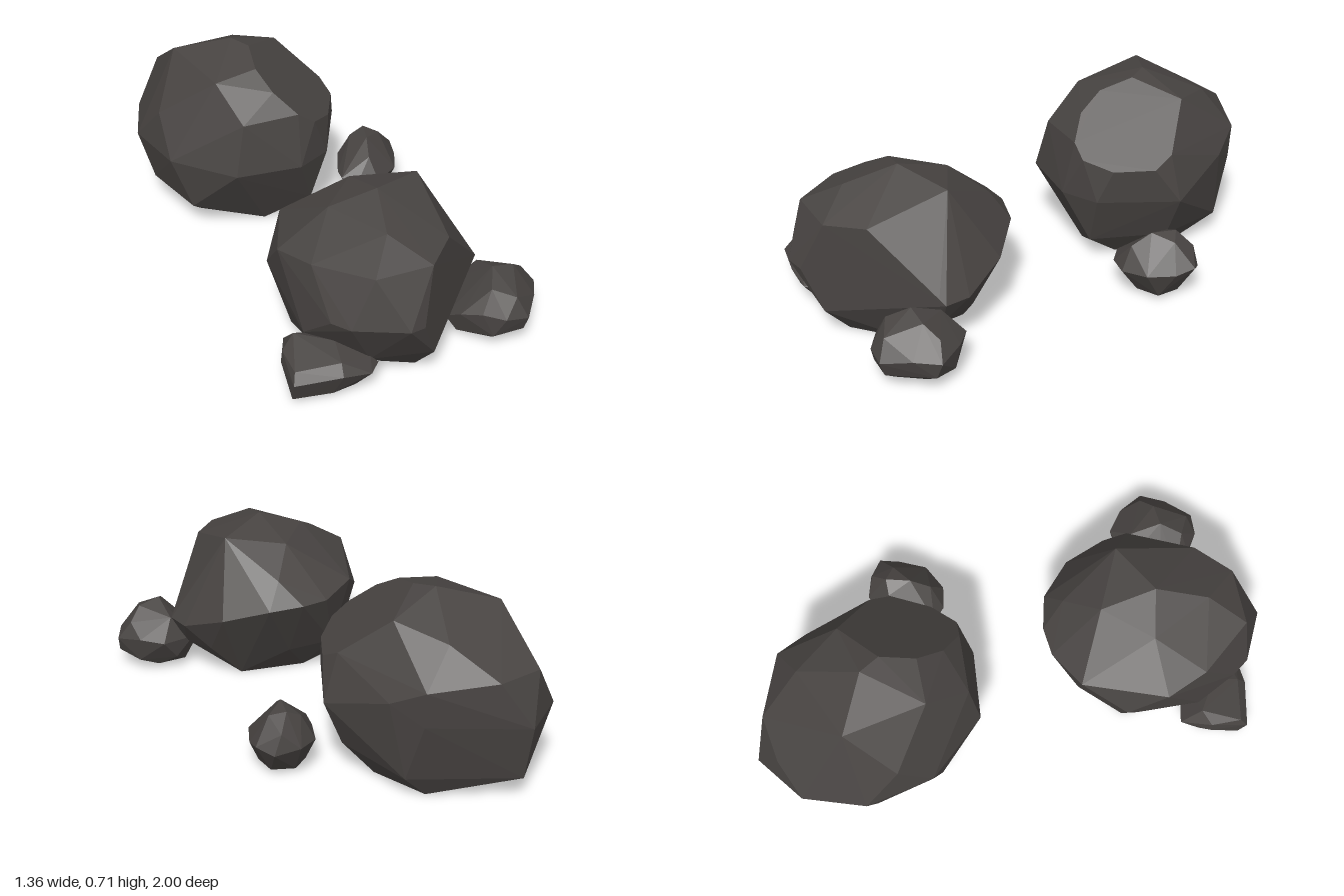
import * as THREE from 'three';
import { ConvexGeometry } from 'three/addons/geometries/ConvexGeometry.js';

// Faceted boulder: the hull around a few corner points (x, y, z triples)
function boulder(name, corners, material) {
  const points = [];
  for (let i = 0; i < corners.length; i += 3) {
    points.push(new THREE.Vector3(corners[i], corners[i + 1], corners[i + 2]));
  }
  const mesh = new THREE.Mesh(new ConvexGeometry(points), material);
  mesh.name = name;
  return mesh;
}

// Large boulder at the back; its sloping cut lies on one plane
const cutHeight = (x, z) => 0.425 - 0.72 * x - 0.26 * z;
const backCut = [[-0.07, -0.66], [-0.21, -0.5], [-0.21, -0.36], [-0.16, -0.26], [-0.07, -0.2],
  [0, -0.21], [0.08, -0.31], [0.13, -0.47], [0.1, -0.55]];
const backCorners = [
  // crown
  -0.27, 0.715, -0.57, -0.5, 0.66, -0.64, -0.22, 0.6, -0.82, -0.38, 0.64, -0.33,
  // shoulder
  -0.54, 0.49, -0.9, -0.36, 0.49, -0.96, -0.6, 0.47, -0.45, -0.3, 0.52, -0.17,
  // belly
  -0.68, 0.31, -0.58, -0.64, 0.31, -0.83, -0.48, 0.31, -1, -0.1, 0.47, -0.91, -0.1, 0.33, -0.9, 0, 0.4, -0.81,
  0.16, 0.31, -0.57, 0.06, 0.31, -0.25, -0.07, 0.31, -0.15, -0.34, 0.31, -0.13, -0.58, 0.31, -0.32,
  // skirt
  -0.62, 0.11, -0.55, -0.47, 0.09, -0.96, -0.06, 0.09, -0.83, 0.08, 0.12, -0.55, -0.01, 0.1, -0.25, -0.5, 0.1, -0.29,
  // base
  -0.48, 0, -0.5, -0.4, 0, -0.78, -0.15, 0, -0.81, -0.03, 0, -0.6, -0.05, 0, -0.38, -0.2, 0, -0.29, -0.45, 0, -0.42,
  ...backCut.flatMap(([x, z]) => [x, cutHeight(x, z), z]),
];

// Large boulder at the front; its steep cut lies on one plane
const cutDepth = (x, y) => (0.823 - x - 0.06 * y) / 0.707;
const frontCut = [[0.17, 0.49], [0.27, 0.5], [0.44, 0.26], [0.3, 0.18], [0.18, 0.12], [0.12, 0.29]];
const frontCorners = [
  // crown
  0.05, 0.63, 0.56, 0.24, 0.59, 0.42, -0.13, 0.57, 0.55, 0, 0.56, 0.35, 0.03, 0.57, 0.77,
  // shoulder
  -0.05, 0.49, 0.92, -0.33, 0.45, 0.6, -0.24, 0.47, 0.75, -0.25, 0.4, 0.27, 0.08, 0.46, 0.21,
  // belly
  0.06, 0.3, 1, -0.14, 0.3, 0.94, -0.2, 0.3, 0.88, -0.34, 0.3, 0.45,
  -0.11, 0.37, 0.16, 0, 0.37, 0.13, 0.14, 0.36, 0.14, 0.31, 0.3, 0.24, 0.43, 0.23, 0.4, 0.46, 0.23, 0.5,
  // skirt
  -0.05, 0.1, 0.86, -0.27, 0.18, 0.75, -0.3, 0.17, 0.5, -0.17, 0.13, 0.27,
  0.02, 0.12, 0.26, 0.33, 0.13, 0.36, 0.4, 0.12, 0.5,
  // base
  0.28, 0, 0.62, 0.14, 0, 0.8, 0.02, 0, 0.76, -0.2, 0, 0.6, -0.25, 0, 0.45, -0.07, 0, 0.35, 0.2, 0, 0.36,
  ...frontCut.flatMap(([x, y]) => [x, y, cutDepth(x, y)]),
];

// Small stone on the left
const leftCorners = [
  0.48, 0.27, 0.64, 0.57, 0.25, 0.62, 0.45, 0.23, 0.73, 0.46, 0.22, 0.52, 0.62, 0.2, 0.57, 0.54, 0.2, 0.76,
  0.51, 0.14, 0.44, 0.6, 0.15, 0.49, 0.675, 0.13, 0.58, 0.64, 0.14, 0.68, 0.58, 0.12, 0.79, 0.49, 0.13, 0.8,
  0.41, 0.14, 0.76, 0.34, 0.12, 0.71, 0.3, 0.08, 0.65, 0.37, 0.13, 0.5, 0.665, 0.07, 0.6,
  0.57, 0.06, 0.77, 0.45, 0.05, 0.78, 0.6, 0.05, 0.51, 0.45, 0.06, 0.47,
  0.59, 0.02, 0.62, 0.54, 0.02, 0.72, 0.45, 0.02, 0.74, 0.34, 0.02, 0.67, 0.4, 0.02, 0.53, 0.52, 0.02, 0.51,
];

// Small stone on the right
const rightCorners = [
  -0.31, 0.19, 0.76, -0.17, 0.175, 0.82, -0.17, 0.15, 0.92, -0.36, 0.15, 0.8, -0.34, 0.14, 0.92,
  -0.33, 0.11, 0.68, -0.12, 0.11, 0.69, -0.02, 0.09, 0.87, -0.05, 0.12, 0.87, -0.06, 0.09, 0.93,
  -0.17, 0.11, 0.955, -0.35, 0.1, 0.95, -0.365, 0.1, 0.8, -0.06, 0.04, 0.88,
  -0.35, 0.02, 0.92, -0.2, 0.02, 0.92, -0.11, 0.02, 0.89, -0.14, 0.02, 0.76, -0.33, 0.02, 0.76,
];

// Small stone beside the back boulder
const sideCorners = [
  0.28, 0.26, -0.5, 0.27, 0.26, -0.4, 0.34, 0.24, -0.47, 0.22, 0.23, -0.49, 0.26, 0.21, -0.32, 0.32, 0.2, -0.56,
  0.25, 0.14, -0.58, 0.35, 0.12, -0.57, 0.41, 0.15, -0.53, 0.41, 0.13, -0.45, 0.38, 0.13, -0.34,
  0.29, 0.12, -0.27, 0.2, 0.12, -0.27, 0.14, 0.13, -0.31, 0.14, 0.12, -0.38, 0.17, 0.13, -0.51,
  0.25, 0.02, -0.51, 0.34, 0.02, -0.49, 0.36, 0.02, -0.4, 0.28, 0.02, -0.34, 0.2, 0.02, -0.36, 0.19, 0.02, -0.45,
];

export function createModel() {
  const group = new THREE.Group();
  group.name = 'rocks';
  const stone = new THREE.MeshStandardMaterial({ color: 0x474341 });
  stone.name = 'dark stone';
  group.add(
    boulder('backBoulder', backCorners, stone),
    boulder('frontBoulder', frontCorners, stone),
    boulder('leftStone', leftCorners, stone),
    boulder('rightStone', rightCorners, stone),
    boulder('sideStone', sideCorners, stone),
  );
  return group;
}
